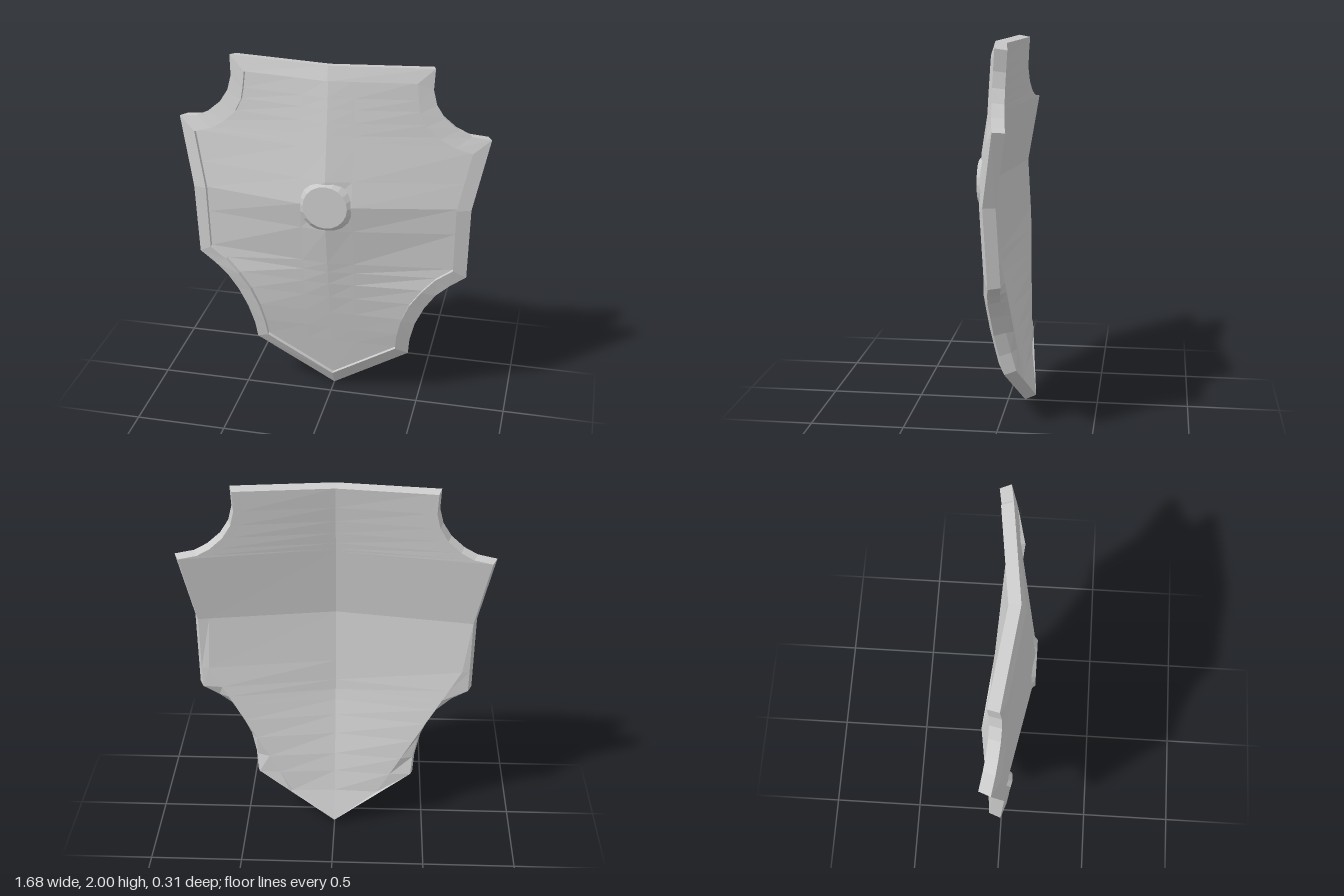
import * as THREE from 'three';

// Half outlines from the bottom tip up to the top centre line: [x, y]
const OUTER = [[0, 0], [0.44, 0.295], [0.45, 0.4], [0.48, 0.52], [0.53, 0.63], [0.59, 0.72], [0.66, 0.78],
  [0.75, 0.84], [0.76, 1.25], [0.84, 1.63], [0.74, 1.645], [0.67, 1.68], [0.6, 1.74], [0.555, 1.81],
  [0.535, 1.89], [0.54, 2], [0, 2]];
const INNER = [[0, 0.095], [0.37, 0.335], [0.38, 0.43], [0.405, 0.54], [0.45, 0.65], [0.515, 0.745], [0.59, 0.825],
  [0.68, 0.885], [0.685, 1.25], [0.75, 1.56], [0.655, 1.59], [0.58, 1.635], [0.51, 1.7], [0.475, 1.77],
  [0.465, 1.83], [0.455, 1.925], [0, 1.925]];

// Height of the central ridges and steepness of the sides: [y, value]
const RIM_RIDGE = [[0, -0.095], [0.3, 0.045], [0.5, 0.095], [0.73, 0.135], [0.84, 0.137], [1.25, 0.16], [2, 0.07]];
const RIM_SLOPE = [[0, 0.17], [1.63, 0.165], [2, 0.125]];
const PANEL_RIDGE = [[0.095, -0.06], [1.25, 0.17], [1.925, 0.066]];
const BACK_RIDGE = [[0.03, -0.157], [0.2, -0.1], [0.4, -0.055], [0.77, 0.04], [1.25, 0.092], [1.99, 0.008]];

// Piecewise linear value of a [y, value] table
function along(table, y) {
  let i = 1;
  while (i < table.length - 1 && y > table[i][0]) i++;
  const [y0, v0] = table[i - 1], [y1, v1] = table[i];
  return v0 + (v1 - v0) * (y - y0) / (y1 - y0);
}

const rimPoint = ([x, y]) => [x, y, along(RIM_RIDGE, y) - along(RIM_SLOPE, y) * x];
const raise = (dz) => ([x, y, z]) => [x, y, z + dz];

// Back edge: a little smaller than the front edge, and set behind it
const backPoint = ([x, y, z]) => [x * 0.97, y - (y - 1) * (y < 1 ? 0.03 : 0.01), z - 0.062];

// Surface through rows of points
function grid(name, rows) {
  const index = [], n = rows[0].length;
  for (let i = 0; i < rows.length - 1; i++) {
    for (let j = 0; j < n - 1; j++) {
      const a = i * n + j, d = a + n;
      index.push(a, a + 1, d + 1, a, d + 1, d);
    }
  }
  const geo = new THREE.BufferGeometry();
  geo.setAttribute('position', new THREE.Float32BufferAttribute(rows.flat(2), 3));
  geo.setIndex(index);
  geo.computeVertexNormals();
  return part(name, geo);
}

function part(name, geo) {
  const mesh = new THREE.Mesh(geo, new THREE.MeshStandardMaterial({ color: 0xcccccc, flatShading: true }));
  mesh.name = name;
  return mesh;
}

const mirror = ([x, y, z]) => [-x, y, z];

// Mirror a half outline into a closed loop
const loop = (half) => [...half, ...half.slice(0, -1).reverse().map(mirror)];

// Add points to a half outline at the given heights
function split(half, heights) {
  const added = heights.map((y) => {
    const k = half.findIndex((p) => p[1] > y), a = half[k - 1], b = half[k];
    const t = (y - a[1]) / (b[1] - a[1]);
    return a.map((v, i) => v + (b[i] - v) * t);
  });
  return [...half, ...added].sort((a, b) => a[1] - b[1]);
}

// Skin across the shield: edge, fold, centre, fold, edge in every row
function skin(name, half, centre, fold, facing) {
  return grid(name, half.map((edge) => {
    const mid = centre(edge[1]), bend = fold(edge, mid);
    const row = [mirror(edge), mirror(bend), mid, bend, edge];
    return facing > 0 ? row : row.reverse();
  }));
}

// Point part of the way from the centre line to the edge
const between = (mid, edge, t) => mid.map((v, i) => v + (edge[i] - v) * t);

export function createModel() {
  const shield = new THREE.Group();
  shield.name = 'shield';

  // Rim: outer wall, front band rising inwards, and the step down to the panel
  const front = OUTER.map(rimPoint), back = front.map(backPoint);
  const lip = INNER.map(rimPoint).map(raise(0.015)), step = lip.map(raise(-0.025));
  shield.add(grid('rim', [back, front, lip, step].map(loop)));

  // Sunken front panel, folded at the waist and flattened under the boss
  shield.add(skin('frontPanel', split(step.slice(0, -1), [1.1, 1.39]),
    (y) => [0, y, Math.min(0.152, along(PANEL_RIDGE, y))],
    (edge) => {
      const x = Math.min(0.14, edge[0] * 0.5), ridge = along(PANEL_RIDGE, edge[1]);
      const z = edge[0] ? ridge + (edge[2] - ridge) * x / edge[0] : edge[2];
      return [x, edge[1], Math.min(0.15, z)];
    }, 1));

  // Hollow back, with a straight fold running behind each lower notch
  shield.add(skin('back', split(back.slice(0, -1), [0.2, 0.96]),
    (y) => [0, y, along(BACK_RIDGE, y)],
    (edge, mid) => {
      const t = (edge[1] - 0.2) / 0.76;
      if (t < -0.001 || t > 1.001) return between(mid, edge, 0.92);
      return [0.24 + 0.45 * t, edge[1], -0.11 + 0.06 * t];
    }, -1));

  // Low bevelled boss in the middle
  const boss = part('boss', new THREE.CylinderGeometry(0.12, 0.15, 0.028, 20));
  boss.rotation.x = Math.PI / 2;
  boss.position.set(0, 1.245, 0.144);
  shield.add(boss);

  return shield;
}
